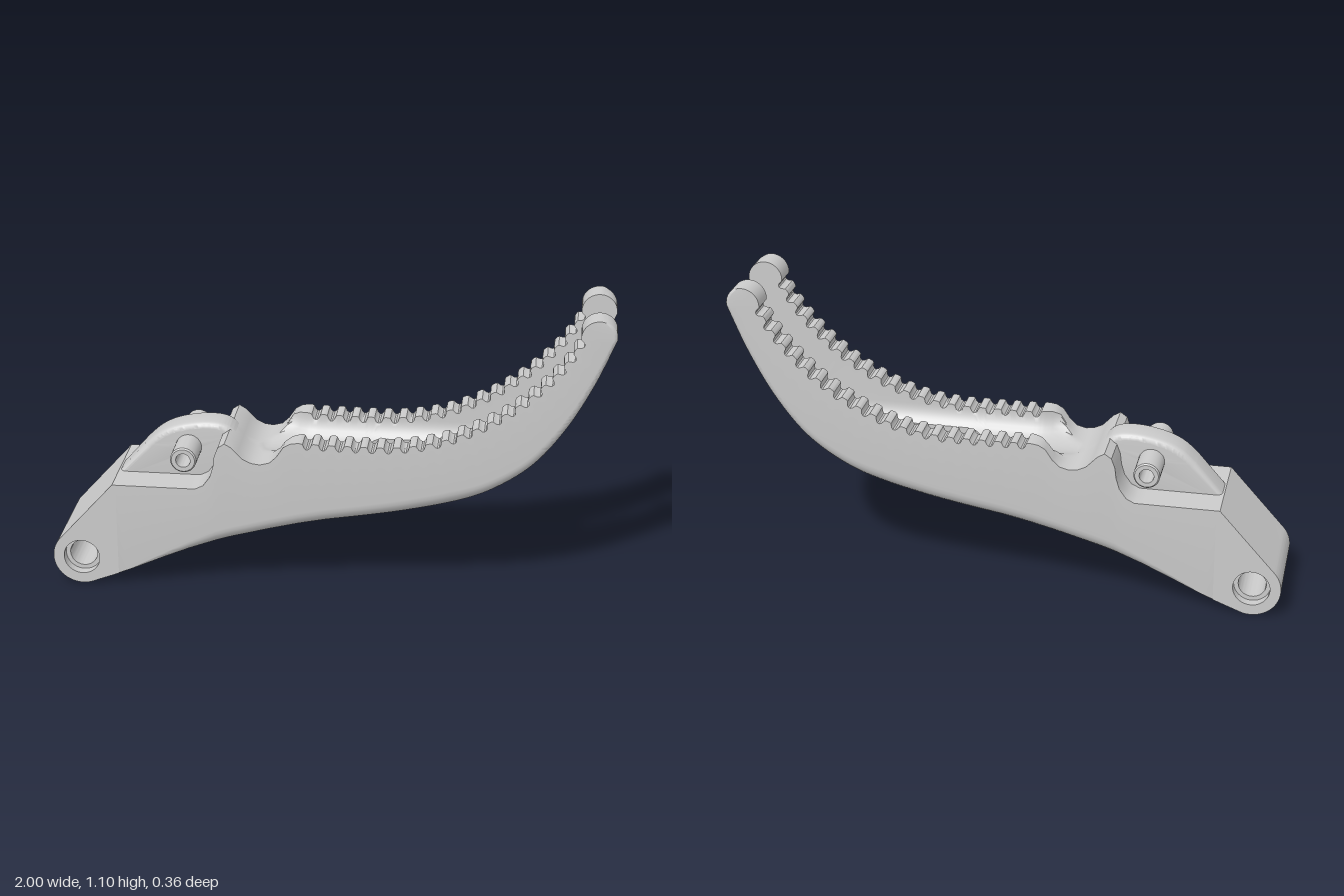
import * as THREE from 'three';
import { toCreasedNormals } from 'three/addons/utils/BufferGeometryUtils.js';

const V = (x, y) => new THREE.Vector2(x, y);
const clamp = THREE.MathUtils.clamp, lerp = THREE.MathUtils.lerp;
const HALF = 0.18; // half width of the body
const material = new THREE.MeshStandardMaterial({ color: 0xcccccc });

// Piecewise-linear lookup of y at x
function sample(pts, x) {
  let i = 0;
  while (i < pts.length - 2 && x > pts[i + 1][0]) i++;
  const [a, b] = [pts[i], pts[i + 1]];
  return lerp(a[1], b[1], clamp((x - a[0]) / (b[0] - a[0]), 0, 1));
}

const headTop = [[-0.76, 0.4], [-0.47, 0.4], [-0.44, 0.415], [-0.415, 0.45], [-0.403, 0.49], [-0.398, 0.53],
  [-0.385, 0.565], [-0.36, 0.582], [-0.335, 0.567], [-0.295, 0.525], [-0.265, 0.511], [-0.235, 0.507],
  [-0.2, 0.516], [-0.175, 0.54], [-0.15, 0.578], [-0.125, 0.593], [-0.1, 0.597]];
const headBottom = [[-0.76, 0.045], [-0.6, 0.11], [-0.5, 0.148], [-0.35, 0.197], [-0.2, 0.238], [-0.1, 0.263]];
const pocketTop = [[-0.76, 0.13], [-0.73, 0.165], [-0.5, 0.245], [-0.25, 0.305], [-0.03, 0.335], [0, 0.285]];
const filletSize = [[-0.72, 0.004], [-0.4, 0.055], [0, 0.06], [0.45, 0.06], [0.75, 0.035], [1, 0.015]];
const jawTop = new THREE.SplineCurve([[-0.1, 0.597], [0.08, 0.594], [0.25, 0.598], [0.4, 0.628], [0.55, 0.695],
  [0.68, 0.785], [0.79, 0.895], [0.85, 0.98], [0.875, 1.037]].map(p => V(...p)));
const jawBottom = new THREE.SplineCurve([[-0.1, 0.263], [0, 0.284], [0.15, 0.31], [0.3, 0.34], [0.47, 0.385],
  [0.6, 0.445], [0.73, 0.545], [0.84, 0.69], [0.93, 0.86], [0.999, 1.03]].map(p => V(...p)));

// Pairs of top and bottom points that run along the body
function makeStations() {
  const list = [];
  for (let i = 0; i < headTop.length - 1; i++) {
    const n = Math.ceil((headTop[i + 1][0] - headTop[i][0]) / 0.03);
    for (let k = 0; k < n; k++) {
      const x = lerp(headTop[i][0], headTop[i + 1][0], k / n);
      list.push([V(x, sample(headTop, x)), V(x, sample(headBottom, x))]);
    }
  }
  // toothed jaw: each tooth is a flat crest followed by a rounded groove
  const teeth = 20, groove = [0, 0, 0, 0.003, 0.017, 0.022, 0.022, 0.017, 0.003];
  const count = teeth * groove.length;
  for (let i = 0; i <= count; i++) {
    const u = i / count, t = jawTop.getTangentAt(u), d = i === count ? 0 : groove[i % groove.length];
    const top = jawTop.getPointAt(u).add(V(t.y * d, -t.x * d));
    list.push([top, jawBottom.getPointAt(Math.pow(u, 1.15))]);
  }
  // rounded tip
  for (let k = 1; k <= 10; k++) {
    const a = lerp(Math.PI, 1.35, k / 10), b = lerp(-0.1, 1.35, k / 10), r = 0.062;
    list.push([V(0.937 + r * Math.cos(a), 1.037 + r * Math.sin(a)), V(0.937 + r * Math.cos(b), 1.037 + r * Math.sin(b))]);
  }
  return list;
}

// Half cross-section: channel, top, rounded lower edge, underside pocket, slot wall
function makeRing([T, B]) {
  const x = T.x, R = 0.09, axisY = 0.59, ring = [];
  const put = (s, z) => { const p = T.clone().lerp(B, s); ring.push([p.x, p.y, z]); };
  const atY = y => B.y >= axisY ? 1 : clamp((T.y - y) / (T.y - B.y), 0, 1);
  const flare = Math.pow(clamp((-0.05 - x) / 0.1, 0, 1), 2);
  const width = R + 0.035 * flare;
  // the slot has a round end, and widens where the channel breaks through below
  let zMin = x < 0.12 ? 0 : x < 0.18 ? Math.sqrt(0.0036 - (x - 0.18) ** 2) : 0.06;
  if (B.y >= axisY) zMin = R;
  else if (B.y > axisY - R) zMin = Math.max(zMin, Math.sqrt(R * R - (axisY - B.y) ** 2));
  for (let k = 0; k <= 8; k++) {
    const z = R * Math.sin(lerp(Math.asin(zMin / R), Math.PI / 2, k / 8));
    const y = axisY - Math.sqrt(Math.max(0, R * R - z * z));
    put(x < -0.235 ? 0 : atY(y), z * width / R);
  }
  put(0, width);
  put(0, HALF);
  const L = T.distanceTo(B), r = Math.min(sample(filletSize, B.x), L * 0.4);
  for (let k = 0; k <= 6; k++) {
    const a = k * Math.PI / 12;
    put(L > 1e-6 ? 1 - r * (1 - Math.sin(a)) / L : 1, HALF - r + r * Math.cos(a));
  }
  const ceil = x < 0 ? sample(pocketTop, x) : -1;
  put(1, Math.max(zMin, 0.11));
  put(atY(ceil - 0.03), Math.max(zMin, 0.11));
  put(atY(ceil - 0.009), Math.max(zMin, 0.101));
  put(atY(ceil), Math.max(zMin, 0.08));
  put(atY(ceil), zMin);
  return ring;
}

// Skins the cross-sections and mirrors them across z = 0
function makeBody() {
  const rings = makeStations().map(makeRing), pos = [];
  for (const side of [1, -1]) {
    const tri = (a, b, c) => {
      for (const p of side > 0 ? [a, b, c] : [a, c, b]) pos.push(p[0], p[1], p[2] * side);
    };
    for (let i = 0; i < rings.length - 1; i++) {
      const A = rings[i], D = rings[i + 1], n = A.length;
      for (let j = 0; j < n; j++) {
        const k = (j + 1) % n;
        tri(A[j], A[k], D[k]);
        tri(A[j], D[k], D[j]);
      }
    }
  }
  const g = new THREE.BufferGeometry();
  g.setAttribute('position', new THREE.Float32BufferAttribute(pos, 3));
  return toCreasedNormals(g, 0.6);
}

// Slice of the pivot end with a bore of the given radius
function pivotSlice(z0, z1, bore) {
  const cx = -0.895, cy = 0.105, s = new THREE.Shape();
  s.moveTo(-0.76, 0.045);
  s.lineTo(-0.76, 0.4);
  s.lineTo(-0.772, 0.4);
  s.absarc(cx, cy, 0.105, 2.36, 5.14, false);
  s.closePath();
  s.holes.push(new THREE.Path().absarc(cx, cy, bore, 0, Math.PI * 2, true));
  const g = new THREE.ExtrudeGeometry(s, { depth: z1 - z0, bevelEnabled: false, curveSegments: 32 });
  return toCreasedNormals(g.translate(0, 0, z0), 0.5);
}

// Rounded central fin that carries the cross pin
function makeFin() {
  const s = new THREE.Shape();
  s.moveTo(-0.34, 0.36);
  s.lineTo(-0.8, 0.36);
  s.lineTo(-0.67, 0.51);
  s.splineThru([V(-0.62, 0.555), V(-0.56, 0.585), V(-0.48, 0.603), V(-0.41, 0.605), V(-0.365, 0.592), V(-0.335, 0.565)]);
  s.closePath();
  s.holes.push(new THREE.Path().absarc(-0.51, 0.51, 0.036, 0, Math.PI * 2, true));
  const g = new THREE.ExtrudeGeometry(s, {
    depth: 0.07, bevelThickness: 0.022, bevelSize: 0.022, bevelOffset: -0.022, bevelSegments: 4, curveSegments: 10,
  });
  return toCreasedNormals(g.translate(0, 0, -0.035), 0.6);
}

// Hollow pin across the body
function makePin() {
  const [i, o, h] = [0.026, 0.047, HALF];
  const g = new THREE.LatheGeometry([V(i, -h), V(o - 0.005, -h), V(o, -h + 0.005), V(o, h - 0.005), V(o - 0.005, h), V(i, h), V(i, -h)], 32);
  return toCreasedNormals(g.rotateX(Math.PI / 2).translate(-0.51, 0.51, 0), 0.5);
}

export function createModel() {
  const model = new THREE.Group();
  model.name = 'forkedLever';
  const add = (name, geometry) => {
    const m = new THREE.Mesh(geometry, material);
    m.name = name;
    model.add(m);
  };
  add('toothedForkBody', makeBody());
  add('pivotEnd', pivotSlice(-0.145, 0.145, 0.05));
  add('pivotLeftRim', pivotSlice(0.145, HALF, 0.066));
  add('pivotRightRim', pivotSlice(-HALF, -0.145, 0.066));
  add('centreFin', makeFin());
  add('crossPin', makePin());
  return model;
}
